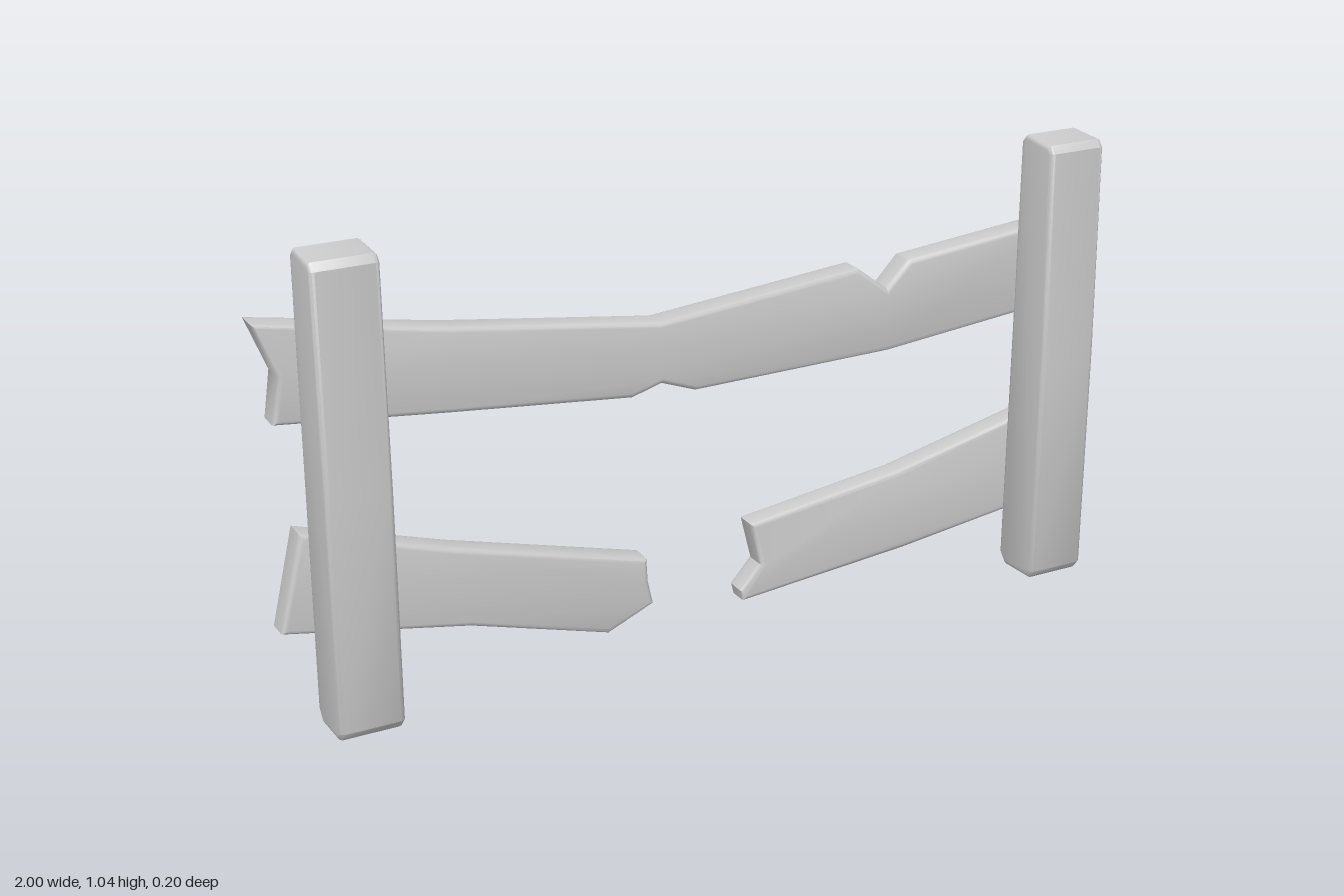
import * as THREE from 'three';
import { toCreasedNormals } from 'three/addons/utils/BufferGeometryUtils.js';

const material = new THREE.MeshStandardMaterial({ color: 0xcccccc });

// Outline extruded to a total depth, with bevels that stay inside the outline
function slab(points, depth, bevel) {
  const shape = new THREE.Shape(points.map(([x, y]) => new THREE.Vector2(x, y)));
  const geometry = new THREE.ExtrudeGeometry(shape, {
    depth: depth - 2 * bevel,
    bevelThickness: bevel,
    bevelSize: bevel,
    bevelOffset: -bevel,
    bevelSegments: 3,
  });
  geometry.translate(0, 0, bevel - depth / 2);
  return geometry;
}

function addMesh(group, name, geometry) {
  const mesh = new THREE.Mesh(toCreasedNormals(geometry, 0.7), material);
  mesh.name = name;
  group.add(mesh);
  return mesh;
}

// Hewn post: side outline (z, y) extruded across x, slightly bowed at mid height
function addPost(group, name, x, bottom, top, width) {
  const c = 0.016;
  const outline = [
    [-0.015, bottom], [0.08, bottom + 0.004], [0.096, bottom + c + 0.008],
    [0.099, 0.55], [0.092, top - c - 0.004], [0.078, top - 0.004],
    [-0.012, top], [-0.026, top - c], [-0.03, 0.6], [-0.037, bottom + c + 0.01],
  ];
  const geometry = slab(outline.reverse(), width, 0.01);
  geometry.rotateY(-Math.PI / 2);
  addMesh(group, name, geometry).position.x = x;
}

// Plank: front outline (x, y) placed between two depths
function addPlank(group, name, outline, back, front) {
  const geometry = slab(outline, front - back, 0.011);
  addMesh(group, name, geometry).position.z = (front + back) / 2;
}

export function createModel() {
  const group = new THREE.Group();
  group.name = 'brokenFence';

  addPost(group, 'rightPost', -0.844, 0.02, 1.046, 0.142);
  addPost(group, 'leftPost', 0.842, 0.005, 1.05, 0.138);

  // Sagging top rail with a notch above, a chip below and a split end
  addPlank(group, 'topRail', [
    [-1, 0.9], [-0.6, 0.827], [-0.12, 0.757], [0.36, 0.8], [0.435, 0.742],
    [0.49, 0.8], [0.87, 0.836], [0.87, 0.638], [0.44, 0.597], [-0.04, 0.59],
    [-0.12, 0.62], [-0.19, 0.6], [-0.6, 0.643], [-0.97, 0.685], [-0.955, 0.785],
  ].reverse(), -0.088, -0.023);

  // Two halves of the snapped lower rail
  addPlank(group, 'lowerRailRight', [
    [-0.93, 0.44], [-0.6, 0.337], [-0.155, 0.215], [-0.152, 0.16],
    [-0.14, 0.105], [-0.25, 0.057], [-0.57, 0.15], [-0.98, 0.227],
  ].reverse(), -0.097, -0.033);
  addPlank(group, 'lowerRailLeft', [
    [0.1, 0.243], [0.48, 0.295], [0.96, 0.407], [0.997, 0.168],
    [0.5, 0.1], [0.082, 0.06], [0.076, 0.085], [0.125, 0.14],
  ].reverse(), -0.089, -0.03);

  return group;
}
